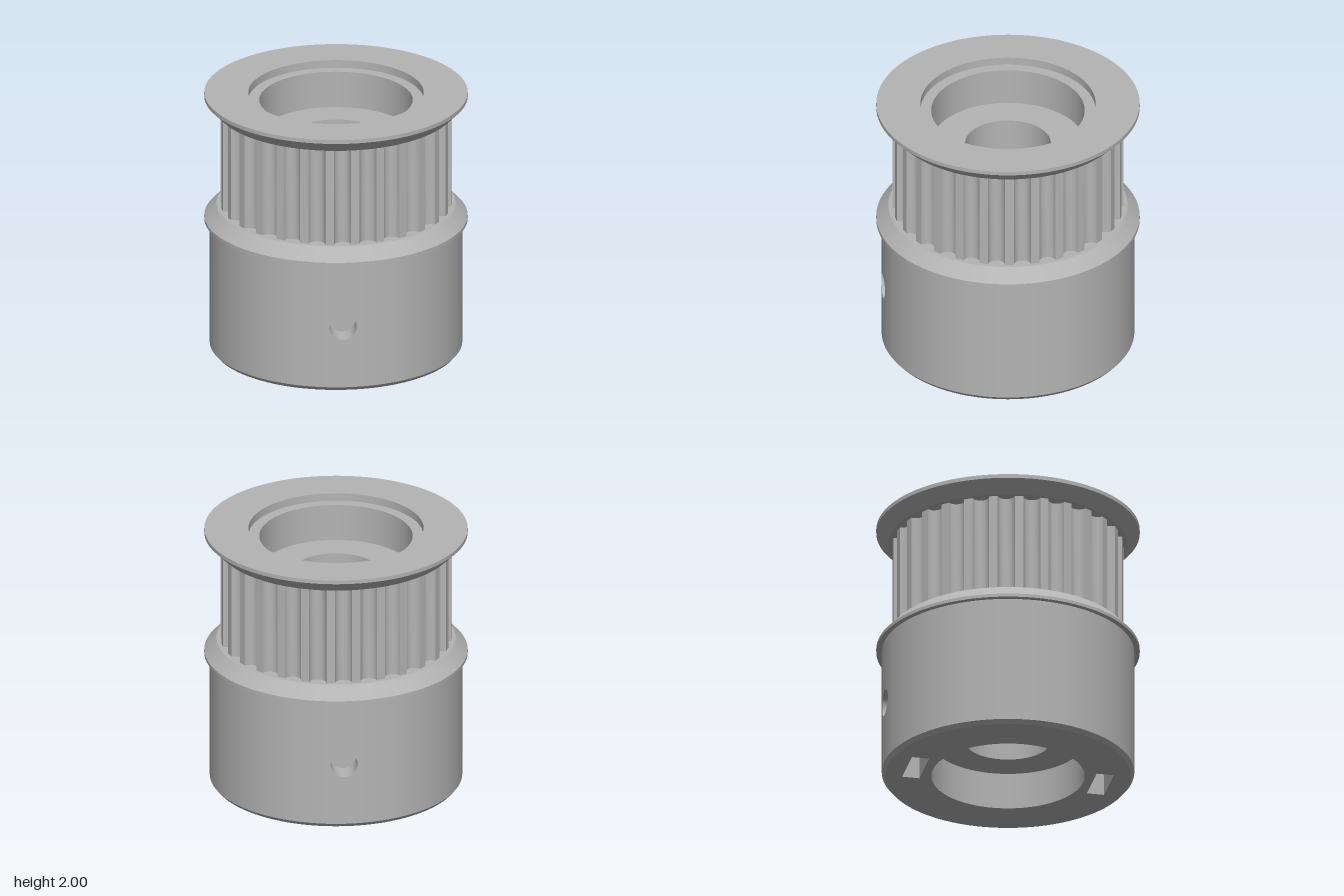
import * as THREE from 'three';
import { mergeGeometries, toCreasedNormals } from 'three/addons/utils/BufferGeometryUtils.js';
import { ParametricGeometry } from 'three/addons/geometries/ParametricGeometry.js';

const SEG = 96, HUB_R = 0.93, BORE_R = 0.565;
const TEETH = 28, TOOTH_R = 0.85, TOOTH_Y0 = 1.125, TOOTH_Y1 = 1.88;
const HOLE_R = 0.1, HOLE_Y = 0.505;
const PAD = (3 / SEG) * Math.PI * 2;           // half angle of the drilled wall panel
const PAD_H = 0.475;                           // half height of that panel
const SLOT = { w: 0.35, h: 0.68, z0: 0.63, z1: 0.76 };

export function createModel() {
  const metal = new THREE.MeshStandardMaterial({ color: 0xb4b4b4, side: THREE.DoubleSide });
  metal.name = 'grey metal';
  const model = new THREE.Group();
  model.name = 'timingPulley';

  const add = (name, geometry, parent = model) => {
    const mesh = new THREE.Mesh(geometry, metal);
    mesh.name = name;
    parent.add(mesh);
    return mesh;
  };

  // Turned surface with a crisp edge at every profile point
  const turned = (profile, start = 0, length = Math.PI * 2) => {
    const pts = profile.map(([r, y]) => new THREE.Vector2(r, y));
    const segs = Math.round((SEG * length) / (Math.PI * 2));
    return mergeGeometries(pts.slice(1).map((p, i) =>
      new THREE.LatheGeometry([pts[i], p], segs, start, length)));
  };

  const circlePath = (x, y, r) => new THREE.Path().absarc(x, y, r, 0, Math.PI * 2, true);

  // Hub: chamfer, two wall arcs and the flat underside with nut slots
  add('hubChamfer', turned([[0.905, 0], [HUB_R, 0.03]]));
  const wall = [[HUB_R, HOLE_Y - PAD_H], [HUB_R, HOLE_Y + PAD_H]];
  for (const start of [PAD, Math.PI + PAD]) add('hubWall', turned(wall, start, Math.PI - 2 * PAD));

  const under = new THREE.Shape().absarc(0, 0, 0.905, 0, Math.PI * 2, false);
  under.holes.push(circlePath(0, 0, BORE_R));
  for (const s of [1, -1]) {
    const a = s * SLOT.z0, b = s * SLOT.z1, w = SLOT.w / 2;
    under.holes.push(new THREE.Path([[-w, a], [-w, b], [w, b], [w, a]].map(p => new THREE.Vector2(...p))));
  }
  add('hubUnderside', new THREE.ShapeGeometry(under, 48).rotateX(Math.PI / 2));

  // Lower flange
  add('lowerFlange', turned([[HUB_R, 0.98], [HUB_R, 1.005], [0.97, 1.005], [0.97, 1.03],
    [0.88, TOOTH_Y0], [0.76, TOOTH_Y0]]));

  // Upper flange with its shallow recess
  add('upperFlange', turned([[0.76, TOOTH_Y1], [0.88, TOOTH_Y1], [0.97, 1.97], [0.97, 2],
    [0.645, 2], [0.645, 1.94], [BORE_R, 1.94]]));

  // Counterbores above and below, joined by the shaft bore
  add('shaftBore', turned([[BORE_R, 1.94], [BORE_R, 1.66], [0.315, 1.66], [0.315, 0.28],
    [BORE_R, 0.28], [BORE_R, 0]]));

  // Toothed belt ring: rounded grooves between narrow lands
  const outline = [];
  const pitch = (Math.PI * 2) / TEETH, half = pitch / 3, depth = 0.06, steps = 10;
  for (let i = 0; i < TEETH; i++) {
    for (let k = 0; k <= steps; k++) {
      const t = (k / steps) * Math.PI;
      const a = i * pitch - half * Math.cos(t), r = TOOTH_R - depth * Math.sin(t);
      outline.push(new THREE.Vector2(r * Math.cos(a), r * Math.sin(a)));
    }
  }
  const ring = new THREE.Shape(outline);
  ring.holes.push(circlePath(0, 0, 0.62));
  const teeth = new THREE.ExtrudeGeometry(ring, { depth: TOOTH_Y1 - TOOTH_Y0, bevelEnabled: false, curveSegments: 24 });
  teeth.rotateX(-Math.PI / 2).translate(0, TOOTH_Y0, 0);
  add('toothedRing', toCreasedNormals(teeth, 0.5));

  // Set screw hole and nut slot, on the front and the back
  const halfW = HUB_R * PAD, corner = Math.atan2(PAD_H, halfW);
  const bounds = [-corner, corner, Math.PI - corner, Math.PI + corner, 2 * Math.PI - corner];
  const onHub = (u, y, target) => target.set(HUB_R * Math.sin(u / HUB_R), y, HUB_R * Math.cos(u / HUB_R));

  for (const side of ['front', 'back']) {
    const station = new THREE.Group();
    station.name = side + 'ScrewStation';
    station.rotation.y = side === 'front' ? 0 : Math.PI;
    model.add(station);

    // Curved wall panel spreading from the round hole to a rectangle
    add('drilledWall', new ParametricGeometry((u, v, target) => {
      const k = Math.min(3, Math.floor(v * 4));
      const t = THREE.MathUtils.lerp(bounds[k], bounds[k + 1], v * 4 - k);
      const c = Math.cos(t), s = Math.sin(t);
      const reach = Math.min(halfW / Math.max(Math.abs(c), 1e-6), PAD_H / Math.max(Math.abs(s), 1e-6));
      const r = THREE.MathUtils.lerp(HOLE_R, reach, u);
      onHub(r * c, HOLE_Y + r * s, target);
    }, 5, 64), station);

    // Hole lining
    add('screwHole', new ParametricGeometry((u, v, target) => {
      const t = v * Math.PI * 2;
      onHub(HOLE_R * Math.cos(t), HOLE_Y + HOLE_R * Math.sin(t), target);
      target.z = THREE.MathUtils.lerp(SLOT.z1, target.z, u);
    }, 1, 48), station);

    // Nut slot, open at the bottom
    const { w, h, z0, z1 } = SLOT, d = z1 - z0, zm = (z0 + z1) / 2;
    add('slotInnerWall', new THREE.PlaneGeometry(w, h).translate(0, h / 2, z0), station);
    add('slotRoof', new THREE.PlaneGeometry(w, d).rotateX(Math.PI / 2).translate(0, h, zm), station);
    for (const s of [-1, 1]) {
      add('slotEnd', new THREE.PlaneGeometry(d, h).rotateY(-s * Math.PI / 2).translate(s * w / 2, h / 2, zm), station);
    }
    const outer = new THREE.Shape([[-w / 2, 0], [w / 2, 0], [w / 2, h], [-w / 2, h]].map(p => new THREE.Vector2(...p)));
    outer.holes.push(circlePath(0, HOLE_Y, HOLE_R));
    add('slotOuterWall', new THREE.ShapeGeometry(outer, 24).rotateY(Math.PI).translate(0, 0, z1), station);
  }
  return model;
}
